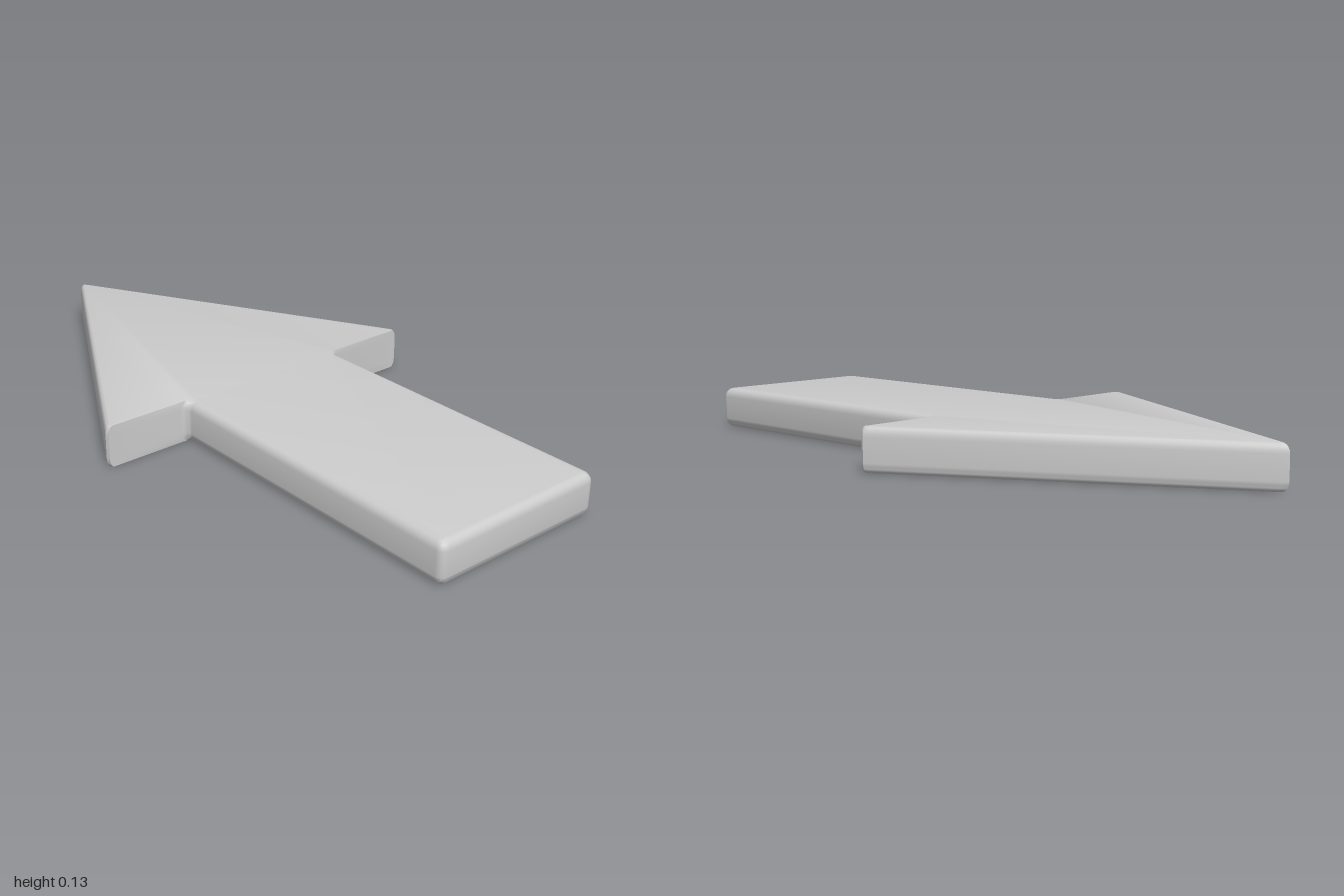
import * as THREE from 'three';
import { toCreasedNormals } from 'three/addons/utils/BufferGeometryUtils.js';

const HEIGHT = 0.127, BEVEL = 0.028, STEPS = 5;

// Arrow outline seen from above (x, z); k = 0 at the widest level, 1 at the flat faces.
// The rear edges of the head stay square, all other edges are pulled in.
function outline(k) {
  const h = 0.013 * k, s = 0.024 * k;
  const half = [
    [0.011 - 0.003 * k, -0.988 + 1.9 * h], // rounded tip
    [0.545 - 1.1 * h, -0.032],
    [0.55 - 1.1 * h, -0.02],
    [0.546 - 1.1 * h, -0.01],
  ];
  // small fillet where the head meets the shaft
  for (let i = 0; i <= 4; i++) {
    const a = (i / 4) * Math.PI / 2;
    half.push([0.302 - s - 0.022 * Math.sin(a), 0.014 - 0.024 * Math.cos(a)]);
  }
  // rounded corner at the end of the shaft
  const r = 0.022 - 0.01 * k;
  for (let i = 0; i <= 4; i++) {
    const a = (i / 4) * Math.PI / 2;
    half.push([0.28 - s - r + r * Math.cos(a), 1 - s - r + r * Math.sin(a)]);
  }
  const mirrored = half.map(([x, z]) => [-x, z]).reverse();
  return [[0, -1 + 1.9 * h], ...half, ...mirrored];
}

function arrowGeometry() {
  // Levels: quarter-round bevel at the bottom, mirrored at the top
  const levels = [];
  for (let i = 0; i <= STEPS; i++) {
    const a = (i / STEPS) * Math.PI / 2;
    levels.push({ y: BEVEL * (1 - Math.cos(a)), k: 1 - Math.sin(a) });
  }
  levels.push(...levels.map(({ y, k }) => ({ y: HEIGHT - y, k })).reverse());

  const positions = [], index = [];
  for (const { y, k } of levels) for (const [x, z] of outline(k)) positions.push(x, y, z);

  // Side walls
  const n = outline(0).length;
  for (let l = 0; l < levels.length - 1; l++) {
    for (let i = 0; i < n; i++) {
      const a = l * n + i, b = l * n + (i + 1) % n;
      index.push(a, a + n, b, b, a + n, b + n);
    }
  }

  // Flat bottom and top
  const rim = outline(1).map(([x, z]) => new THREE.Vector2(x, z));
  const top = (levels.length - 1) * n;
  for (const [a, b, c] of THREE.ShapeUtils.triangulateShape(rim, [])) {
    const area = THREE.ShapeUtils.area([rim[a], rim[b], rim[c]]);
    const [p, q] = area > 0 ? [b, c] : [c, b];
    index.push(a, p, q, top + a, top + q, top + p);
  }

  const geometry = new THREE.BufferGeometry();
  geometry.setAttribute('position', new THREE.Float32BufferAttribute(positions, 3));
  geometry.setIndex(index);
  return toCreasedNormals(geometry, 0.7);
}

export function createModel() {
  const group = new THREE.Group();
  group.name = 'arrow';
  const body = new THREE.Mesh(arrowGeometry(), new THREE.MeshStandardMaterial({ color: 0xcccccc }));
  body.name = 'arrowBody';
  group.add(body);
  return group;
}
